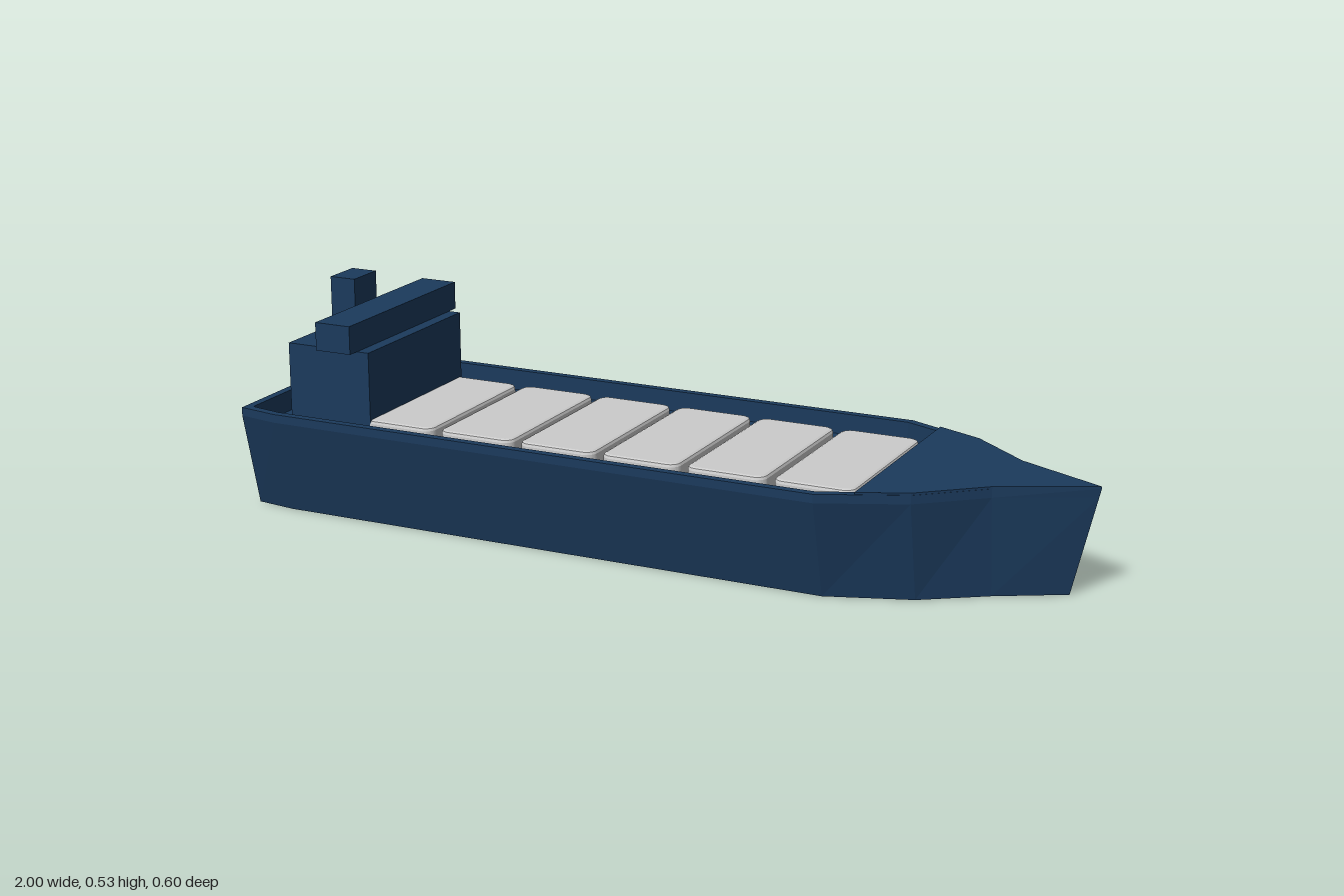
import * as THREE from 'three';

const navy = new THREE.MeshStandardMaterial({ color: 0x1b3a5c, flatShading: true });
const grey = new THREE.MeshStandardMaterial({ color: 0xcccccc, flatShading: true });

// Half outlines [x, z] from stern to bow
const hullTop = [[-1, 0.283], [-0.9, 0.3], [0.46, 0.3], [0.65, 0.218], [0.79, 0.102], [1, 0]];
const wellHalf = [[-0.98, 0.265], [-0.9, 0.28], [0.455, 0.28], [0.54, 0.245]];
const foreHalf = [[0.54, 0.264], [0.65, 0.217], [0.79, 0.101], [1, 0]];

// Full closed outline from a half outline
const mirror = (half) => [...half, ...half.filter((p) => p[1] > 0).reverse().map(([x, z]) => [x, -z])];
const toShape = (pts) => new THREE.Shape(pts.map(([x, z]) => new THREE.Vector2(x, -z)));

// Hull outline at a height: the sides flare and the stem rakes up to the knuckle
function section(y) {
  const t = Math.min(y / 0.23, 1);
  return mirror(hullTop.map(([x, z], i) => [i === 5 ? 0.94 + 0.06 * y / 0.25 : x, z * (0.8 + 0.2 * t)]));
}

// Wall of quads between two closed outlines
function wall(a, ya, b, yb) {
  const pos = [];
  a.forEach((p, i) => {
    const j = (i + 1) % a.length;
    const A = [p[0], ya, p[1]], B = [a[j][0], ya, a[j][1]];
    const C = [b[j][0], yb, b[j][1]], D = [b[i][0], yb, b[i][1]];
    pos.push(...A, ...B, ...C, ...A, ...C, ...D);
  });
  const g = new THREE.BufferGeometry();
  g.setAttribute('position', new THREE.Float32BufferAttribute(pos, 3));
  g.computeVertexNormals();
  return g;
}

function flat(shape, y, up = true) {
  return new THREE.ShapeGeometry(shape).rotateX(up ? -Math.PI / 2 : Math.PI / 2).translate(0, y, 0);
}

function roundedRect(w, d, r) {
  const s = new THREE.Shape();
  const x = w / 2 - r, y = d / 2 - r;
  s.absarc(x, y, r, 0, Math.PI / 2);
  s.absarc(-x, y, r, Math.PI / 2, Math.PI);
  s.absarc(-x, -y, r, Math.PI, Math.PI * 1.5);
  s.absarc(x, -y, r, Math.PI * 1.5, Math.PI * 2);
  s.closePath();
  return s;
}

export function createModel() {
  const model = new THREE.Group();
  model.name = 'cargoShip';
  const add = (name, geo, mat = navy, parent = model) => {
    const m = new THREE.Mesh(geo, mat);
    m.name = name;
    parent.add(m);
    return m;
  };
  const box = (name, x0, x1, y0, y1, halfZ) =>
    add(name, new THREE.BoxGeometry(x1 - x0, y1 - y0, halfZ * 2).translate((x0 + x1) / 2, (y0 + y1) / 2, 0));

  // Hull shell
  const hull = new THREE.Group();
  hull.name = 'hull';
  model.add(hull);
  const low = section(0), knuckle = section(0.23), top = section(0.25);
  add('hullSides', wall(low, 0, knuckle, 0.23), navy, hull);
  add('gunwale', wall(knuckle, 0.23, top, 0.25), navy, hull);
  add('hullBottom', flat(toShape(low), 0, false), navy, hull);

  // Bulwark rim around the sunken main deck
  const deckY = 0.2;
  const well = mirror(wellHalf);
  const rim = toShape(top);
  rim.holes.push(new THREE.Path(well.map(([x, z]) => new THREE.Vector2(x, -z))));
  add('bulwarkRim', flat(rim, 0.25), navy, hull);
  add('bulwarkInside', wall(well, 0.25, well, deckY), navy, hull);
  add('mainDeck', flat(toShape(well), deckY), navy, hull);

  // Raised deck at the bow
  const fore = new THREE.ExtrudeGeometry(toShape(mirror(foreHalf)), { depth: 0.006, bevelEnabled: false });
  add('foredeck', fore.rotateX(-Math.PI / 2).translate(0, 0.249, 0));

  // Row of hatch covers with bevelled edges
  const bevel = 0.008;
  const cover = new THREE.ExtrudeGeometry(roundedRect(0.19 - 2 * bevel, 0.42 - 2 * bevel, 0.018), {
    depth: 0.03, bevelSize: bevel, bevelThickness: bevel, bevelSegments: 2, curveSegments: 5,
  }).rotateX(-Math.PI / 2);
  for (let i = 0; i < 6; i++) {
    add('hatchCover' + (i + 1), cover, grey).position.set(-0.625 + i * 0.209, deckY, 0);
  }

  // Superstructure at the stern
  box('deckhouse', -0.91, -0.692, deckY, 0.4, 0.21);
  box('bridge', -0.814, -0.722, 0.4, 0.467, 0.24);
  box('funnel', -0.893, -0.827, 0.4, 0.526, 0.048);

  return model;
}
